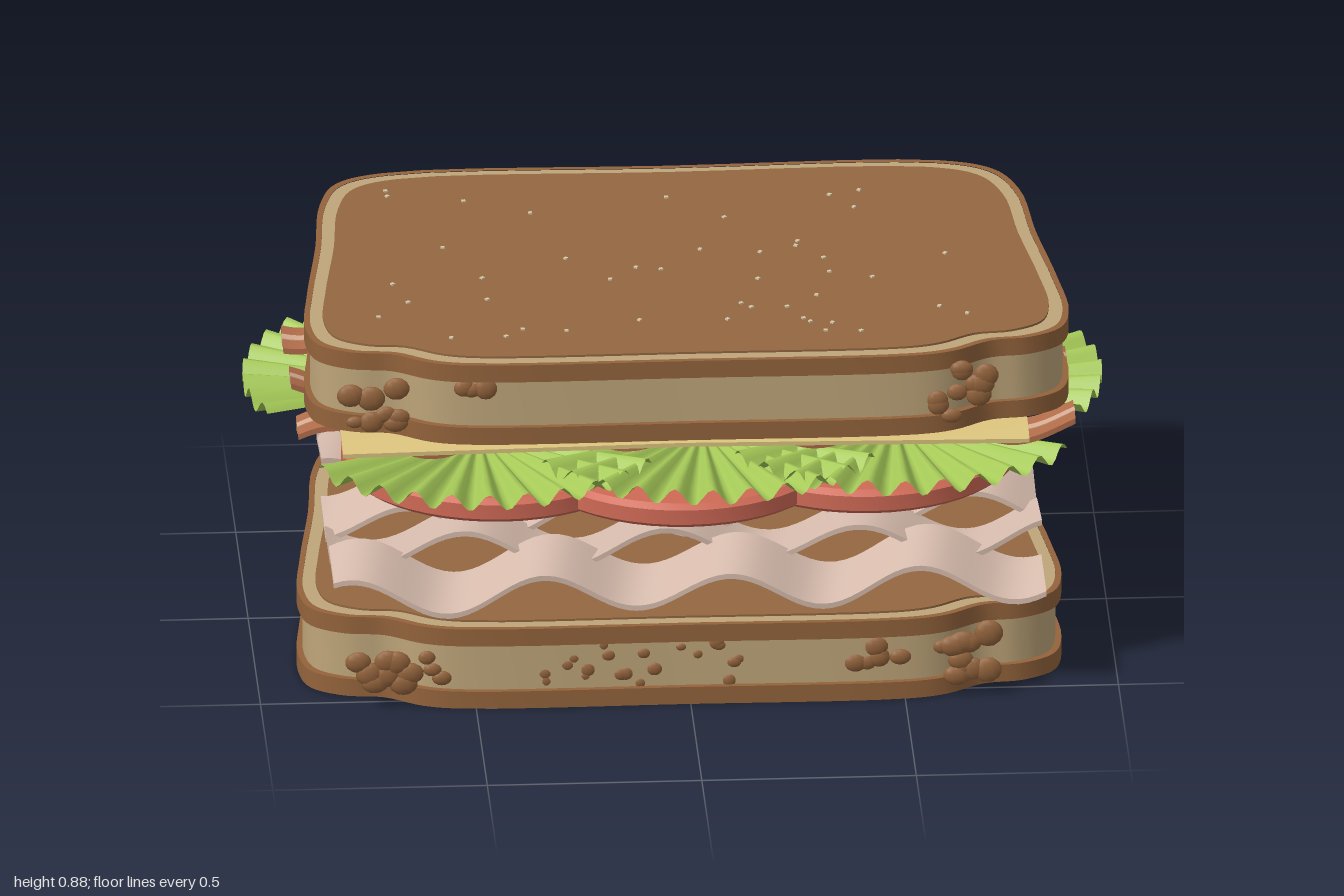
import * as THREE from 'three';
import { toCreasedNormals } from 'three/addons/utils/BufferGeometryUtils.js';

const colours = {
  crumb: 0xbfa67a, crust: 0x94643c, toast: 0x946741, lettuce: 0xa6ca58, tomato: 0xd06a56,
  ham: 0xd8bdae, bacon: 0xb06c4a, fat: 0xd6ab90, cheese: 0xdcc47e, seed: 0xd8c8a8,
};
const mats = {};
for (const [name, color] of Object.entries(colours)) {
  mats[name] = new THREE.MeshStandardMaterial({ color });
  mats[name].name = name;
}
mats.lettuce.side = THREE.DoubleSide;

let seed = 7;
const rand = () => (seed = (seed * 16807) % 2147483647) / 2147483647;
const spread = (a, b) => a + (b - a) * rand();

function add(parent, name, geometry, mat, x = 0, y = 0, z = 0) {
  const mesh = new THREE.Mesh(geometry, mat);
  mesh.name = name;
  mesh.position.set(x, y, z);
  parent.add(mesh);
  return mesh;
}

// Slice outline as x, z pairs, wide at the front with notched front corners
const slicePoints = [
  [-0.66, -0.575], [0, -0.58], [0.64, -0.575], [0.76, -0.52], [0.815, -0.4], [0.84, -0.15],
  [0.875, 0.12], [0.89, 0.31], [0.865, 0.41], [0.79, 0.46], [0.7, 0.475], [0.61, 0.53], [0.52, 0.552],
  [0, 0.555], [-0.52, 0.552], [-0.61, 0.53], [-0.7, 0.475], [-0.79, 0.46], [-0.865, 0.41],
  [-0.89, 0.31], [-0.875, 0.12], [-0.84, -0.15], [-0.815, -0.4], [-0.77, -0.52],
];
const outline = new THREE.CatmullRomCurve3(
  slicePoints.map(([x, z]) => new THREE.Vector3(x, -z, 0)), true).getPoints(120).slice(0, -1);

// Outline moved inward by an even margin on each axis
const ring = (inset) => outline.map((p) =>
  new THREE.Vector2(p.x * (1 - inset / 0.89), p.y * (1 - inset / 0.57)));

function slab(outer, height, inner) {
  const shape = new THREE.Shape(ring(outer));
  if (inner) shape.holes.push(new THREE.Path(ring(inner)));
  const g = new THREE.ExtrudeGeometry(shape, { depth: height, bevelEnabled: false });
  return toCreasedNormals(g.rotateX(-Math.PI / 2), 0.6);
}

function bread(name, x, y) {
  const g = new THREE.Group();
  g.name = name;
  g.position.set(x, y, 0);
  add(g, 'crumbBody', slab(0.014, 0.2), mats.crumb);
  for (const h of [0, 0.158]) add(g, 'crustBand', slab(0, 0.043, 0.014), mats.crust, 0, h);
  add(g, 'toastedFace', slab(0.045, 0.007), mats.toast, 0, 0.198);
  return g;
}

// Toasted blobs clustered on the front of a slice: cx, cy, half width, half height, count
function blobs(parent, cx, cy, w, h, count, size) {
  for (let i = 0; i < count; i++) {
    const r = spread(0.6, 1) * size;
    const m = add(parent, 'toastSpot', new THREE.SphereGeometry(r, 10, 7), mats.crust,
      cx + spread(-w, w), cy + spread(-h, h), 0.54);
    m.scale.set(1, spread(0.7, 1), 0.4);
  }
}

// Wavy strip running along x
function ribbon(length, width, thick, amp, period, phase, tilt) {
  const g = new THREE.BoxGeometry(length, thick, width, 80, 1, 4);
  const p = g.attributes.position;
  for (let i = 0; i < p.count; i++) {
    const x = p.getX(i), z = p.getZ(i);
    const a = (x / period) * Math.PI * 2 + phase + z * 2;
    p.setY(i, p.getY(i) + amp * Math.sin(a) + z * tilt);
    p.setZ(i, z + 0.012 * Math.sin(a * 0.6 + phase));
  }
  g.computeVertexNormals();
  return g;
}

// Pleated leaf fan; heading 0 points to +x, 90 degrees to +z
function leaf(radius, heading, sweep) {
  const rows = 5, cols = 72, pos = [], idx = [];
  for (let i = 0; i <= rows; i++) {
    for (let j = 0; j <= cols; j++) {
      const t = i / rows, u = j / cols;
      const a = THREE.MathUtils.degToRad(heading + (u - 0.5) * sweep);
      const r = radius * Math.max(t, 0.02);
      pos.push(r * Math.cos(a), t * (0.026 + 0.02 * Math.sin(u * Math.PI * 2 * sweep / 11)), r * Math.sin(a));
      if (i < rows && j < cols) {
        const k = i * (cols + 1) + j, n = k + cols + 1;
        idx.push(k, k + 1, n, k + 1, n + 1, n);
      }
    }
  }
  const g = new THREE.BufferGeometry();
  g.setAttribute('position', new THREE.Float32BufferAttribute(pos, 3));
  g.setIndex(idx);
  g.computeVertexNormals();
  return g;
}

export function createModel() {
  const model = new THREE.Group();
  model.name = 'sandwich';

  // Bread slices
  const bottom = bread('bottomBread', -0.012, 0);
  const top = bread('topBread', 0.005, 0.67);
  model.add(bottom, top);
  blobs(bottom, -0.7, 0.1, 0.07, 0.05, 9, 0.035);
  blobs(bottom, -0.59, 0.1, 0.03, 0.03, 3, 0.026);
  blobs(bottom, 0.45, 0.1, 0.06, 0.04, 6, 0.03);
  blobs(bottom, 0.66, 0.11, 0.06, 0.06, 10, 0.036);
  blobs(bottom, -0.1, 0.1, 0.24, 0.05, 20, 0.02);
  blobs(top, -0.74, 0.1, 0.06, 0.05, 9, 0.033);
  blobs(top, -0.51, 0.15, 0.03, 0.02, 3, 0.03);
  blobs(top, 0.63, 0.1, 0.07, 0.06, 11, 0.033);
  for (let i = 0; i < 45; i++) {
    add(top, 'crumbSpeck', new THREE.BoxGeometry(0.009, 0.006, 0.009), mats.seed,
      spread(-0.74, 0.74), 0.206, spread(-0.5, 0.45)).rotation.y = rand() * 3;
  }

  // Ham strips, stacked higher toward the back
  const ham = new THREE.Group();
  ham.name = 'ham';
  model.add(ham);
  [[0.425, 0.28], [0.26, 0.305], [0.09, 0.325], [-0.08, 0.352], [-0.25, 0.385], [-0.42, 0.408]].forEach(([z, y], i) => {
    add(ham, 'hamStrip', ribbon(1.66, 0.205, 0.013, 0.042, 0.44 + 0.02 * (i % 2), i * 2.1, i % 2 ? 0.1 : -0.08),
      mats.ham, 0, y, z);
  });

  // Tomato slices with seeds
  const tomatoProfile = [[0, 0], [0.345, 0], [0.36, 0.012], [0.36, 0.048], [0.345, 0.06], [0, 0.06]]
    .map(([x, y]) => new THREE.Vector2(x, y));
  [[-0.43, 0.11], [0, 0.17], [0.43, 0.11]].forEach(([x, z], i) => {
    const slice = new THREE.Group();
    slice.name = 'tomatoSlice';
    slice.position.set(x, 0.43 + (i === 1 ? 0.002 : 0), z);
    model.add(slice);
    add(slice, 'tomatoFlesh', toCreasedNormals(new THREE.LatheGeometry(tomatoProfile, 48), 0.6), mats.tomato);
    for (let k = 0; k < 6; k++) {
      const a = k * Math.PI / 3 + 0.3;
      const s = add(slice, 'tomatoSeed', new THREE.SphereGeometry(0.016, 8, 6), mats.seed,
        0.19 * Math.cos(a), 0.061, 0.19 * Math.sin(a));
      s.scale.y = 0.3;
    }
  });

  // Lettuce fans: x, z, heading, sweep
  [[-0.545, -0.15, 209, 110], [0.535, -0.09, -20, 100], [0, -0.14, 270, 110],
    [-0.47, 0.14, 90, 115], [0.05, 0.145, 90, 115], [0.5, 0.125, 90, 115]].forEach(([x, z, heading, sweep], i) => {
    add(model, 'lettuceLeaf', leaf(0.46, heading, sweep), mats.lettuce, x, 0.515 + 0.003 * (i % 3), z);
  });

  // Bacon strips with a fat streak
  [[0.35, 0.622, 0.3], [0.045, 0.606, 2.4], [-0.262, 0.62, 4.3]].forEach(([z, y, phase], i) => {
    const strip = new THREE.Group();
    strip.name = 'baconStrip';
    strip.position.set(0, y, z);
    model.add(strip);
    const tilt = i === 1 ? 0.06 : -0.08;
    add(strip, 'baconMeat', ribbon(1.81, 0.105, 0.014, 0.036, 0.45, phase, tilt), mats.bacon);
    add(strip, 'baconFat', ribbon(1.812, 0.022, 0.018, 0.036, 0.45, phase, tilt), mats.fat);
  });

  // Cheese sheet, drooping along its front edge
  const sheet = new THREE.BoxGeometry(1.6, 0.01, 0.89, 30, 1, 16);
  const p = sheet.attributes.position;
  for (let i = 0; i < p.count; i++) {
    const f = Math.max(0, p.getZ(i) - 0.3) / 0.145;
    p.setY(i, p.getY(i) - f * f * (0.008 + 0.012 * Math.abs(p.getX(i))));
  }
  sheet.computeVertexNormals();
  add(model, 'cheeseSheet', sheet, mats.cheese, -0.01, 0.662, 0.1);

  return model;
}
